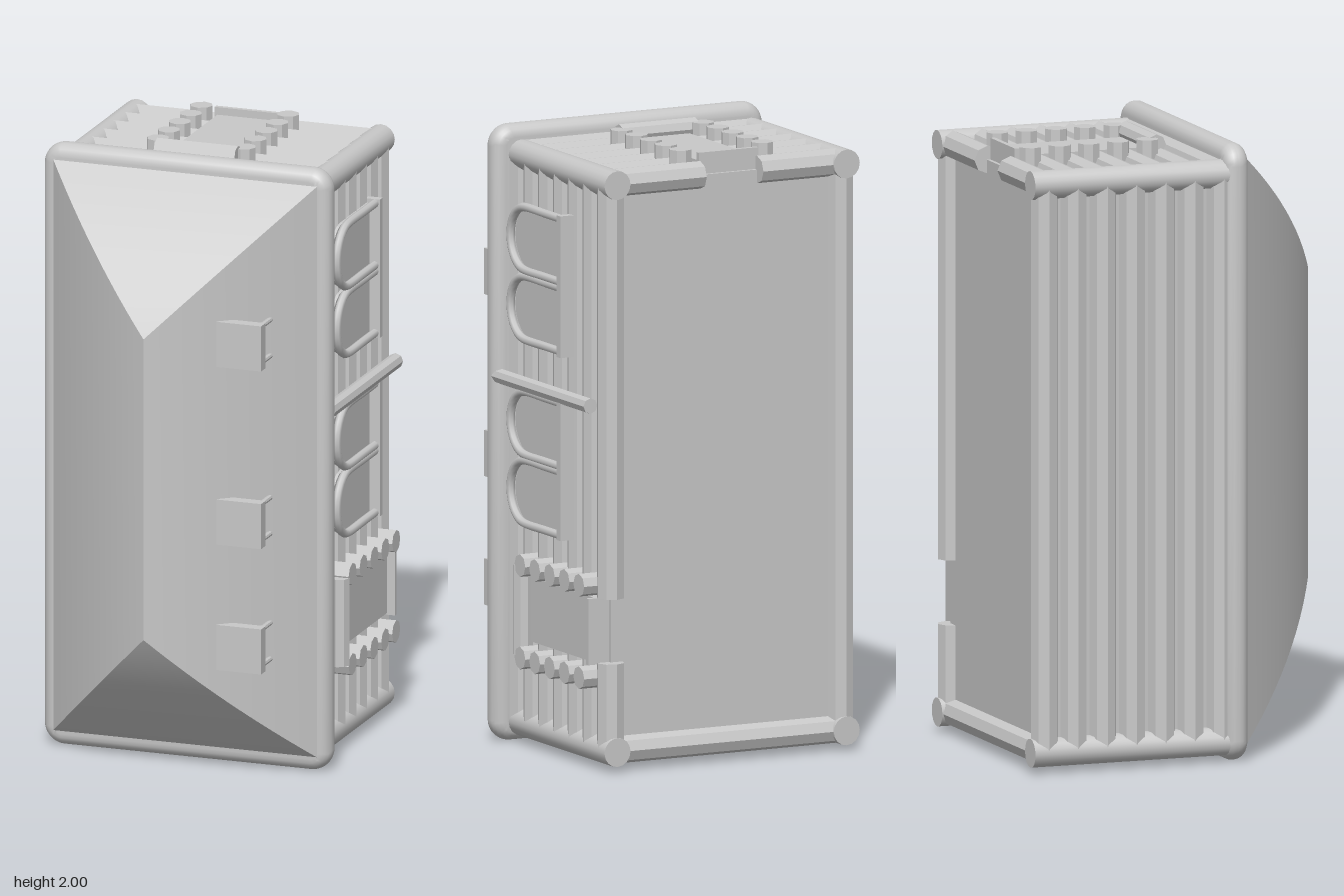
import * as THREE from 'three';
import { toCreasedNormals } from 'three/addons/utils/BufferGeometryUtils.js';

// Body frame: centre lines of the four corner posts
const X0 = -0.435, X1 = 0.395, Y0 = 0.065, Y1 = 1.905, BACK = -0.558, FRONT = 0.12, R = 0.047;

export function createModel() {
  const model = new THREE.Group();
  model.name = 'logCabin';
  const grey = new THREE.MeshStandardMaterial({ color: 0xc8c8c8 });
  grey.name = 'grey';

  const add = (name, geometry, x = 0, y = 0, z = 0) => {
    const mesh = new THREE.Mesh(geometry, grey);
    mesh.name = name;
    mesh.position.set(x, y, z);
    model.add(mesh);
    return mesh;
  };
  const box = (name, x0, x1, y0, y1, z0, z1) =>
    add(name, new THREE.BoxGeometry(x1 - x0, y1 - y0, z1 - z0), (x0 + x1) / 2, (y0 + y1) / 2, (z0 + z1) / 2);
  // Log running from a to b along one axis
  const log = (name, axis, a, b, p, q, r = 0.045, sides = 8) => {
    const g = new THREE.CylinderGeometry(r, r, b - a, sides);
    const m = (a + b) / 2;
    if (axis === 'x') g.rotateZ(Math.PI / 2);
    if (axis === 'z') g.rotateX(Math.PI / 2);
    const pos = { x: [m, p, q], y: [p, m, q], z: [p, q, m] }[axis];
    return add(name, toCreasedNormals(g, 0.5), ...pos);
  };

  // Core and round corner posts
  box('core', X0, X1, Y0, Y1, -0.512, FRONT);
  for (const x of [X0, X1]) for (const y of [Y0, Y1]) log('cornerPost', 'z', BACK, FRONT, x, y, R, 16);

  // Log walls; the first course is interrupted at the two doorways
  const top = { a: -0.135, b: 0.07 }, side = { a: 0.35, b: 0.56 };
  for (let i = 0; i < 7; i++) {
    const z = -0.51 + i * 0.1;
    log('wallLog', 'x', X0, X1, Y0, z);
    log('wallLog', 'y', Y0, Y1, X0, z);
    if (i === 0) {
      log('wallLog', 'x', X0, top.a, Y1, z);
      log('wallLog', 'x', top.b, X1, Y1, z);
      log('wallLog', 'y', Y0, side.a, X1, z);
      log('wallLog', 'y', side.b, Y1, X1, z);
    } else {
      log('wallLog', 'x', X0, X1, Y1, z);
      log('wallLog', 'y', Y0, Y1, X1, z);
    }
  }

  // Doors with raised sills, lintels and rows of log ends down both edges
  box('topDoor', top.a, top.b, 1.89, 1.95, -0.49, -0.04);
  box('sideDoor', 0.38, 0.442, side.a, side.b, -0.49, -0.04);
  box('topDoorSill', -0.145, top.b, 1.88, 1.975, -0.5, -0.484);
  box('sideDoorSill', 0.37, 0.47, 0.345, side.b, -0.5, -0.484);
  log('topLintel', 'x', -0.17, 0.105, 1.962, -0.025, 0.033);
  log('sideLintel', 'y', 0.305, 0.595, 0.452, -0.025, 0.033);
  for (let i = 0; i < 5; i++) {
    const z = -0.06 - i * 0.1;
    for (const x of [-0.18, 0.115]) log('logEnd', 'y', 1.89, 1.985, x, z, 0.037);
    for (const y of [0.3, 0.6]) log('logEnd', 'x', 0.38, 0.483, y, z, 0.037);
  }

  // Arched windows on the left wall: a bent rod around a flat pane
  const rodPoints = [[-0.325, -0.103], [-0.2, -0.103]];
  for (let i = 0; i <= 10; i++) {
    const t = -Math.PI / 2 + (i / 10) * Math.PI;
    rodPoints.push([-0.066 + 0.103 * Math.cos(t), 0.103 * Math.sin(t)]);
  }
  rodPoints.push([-0.2, 0.103], [-0.325, 0.103]);
  const rod = new THREE.CatmullRomCurve3(rodPoints.map(([z, y]) => new THREE.Vector3(0, y, z)));
  const frameGeo = new THREE.TubeGeometry(rod, 40, 0.014, 8);
  const pane = new THREE.Shape(rodPoints.map(([z, y]) => new THREE.Vector2(z, y)));
  const paneGeo = new THREE.ExtrudeGeometry(pane, { depth: 0.009, bevelEnabled: false }).rotateY(-Math.PI / 2);
  for (const y of [1.66, 1.435, 1.061, 0.838]) {
    add('windowFrame', frameGeo, 0.465, y);
    add('windowPane', paneGeo, 0.447, y);
  }
  box('windowSill', 0.435, 0.483, 1.317, 1.777, -0.335, -0.31);
  box('windowSill', 0.435, 0.483, 0.723, 1.175, -0.335, -0.31);
  log('dividerLog', 'z', -0.505, FRONT, 0.465, 1.187, 0.025);

  // Rounded eave slab
  const w = 0.45, h = 0.96, c = 0.03;
  const slab = new THREE.Shape();
  slab.absarc(w - c, h - c, c, 0, Math.PI / 2);
  slab.absarc(c - w, h - c, c, Math.PI / 2, Math.PI);
  slab.absarc(c - w, c - h, c, Math.PI, Math.PI * 1.5);
  slab.absarc(w - c, c - h, c, Math.PI * 1.5, Math.PI * 2);
  const slabGeo = new THREE.ExtrudeGeometry(slab, {
    depth: 0.004, bevelThickness: 0.04, bevelSize: 0.04, bevelSegments: 5, curveSegments: 5 });
  add('eaves', toCreasedNormals(slabGeo, 0.7), 0, 1, 0.133);

  // Hipped roof: four gently bowed faces made from nested rectangles
  const N = 12;
  const corner = (k, s) => {
    const sx = k === 0 || k === 1 ? 1 : -1, sy = k === 1 || k === 2 ? 1 : -1;
    return [sx * 0.455 * s, 1 + sy * (0.5 + 0.455 * s), 0.56 - 0.39 * (0.65 * s + 0.35 * s * s)];
  };
  for (let k = 0; k < 4; k++) {
    const pos = [], idx = [];
    for (let i = 0; i <= N; i++) {
      pos.push(...corner(k, i / N), ...corner((k + 1) % 4, i / N));
      if (i === N) continue;
      const a = i * 2, b = a + 2;
      idx.push(b, b + 1, a + 1, b, a + 1, a);
    }
    const g = new THREE.BufferGeometry();
    g.setAttribute('position', new THREE.Float32BufferAttribute(pos, 3));
    g.setIndex(idx);
    g.computeVertexNormals();
    add('roofFace', g);
  }

  // Small platforms on thin legs
  for (const y of [0.46, 0.877, 1.468]) {
    box('platform', 0.2, 0.352, y - 0.075, y + 0.075, 0.387, 0.428);
    for (const x of [0.215, 0.333]) for (const d of [-0.06, 0.06])
      log('platformLeg', 'z', 0.29, 0.39, x, y + d, 0.009);
  }
  return model;
}
